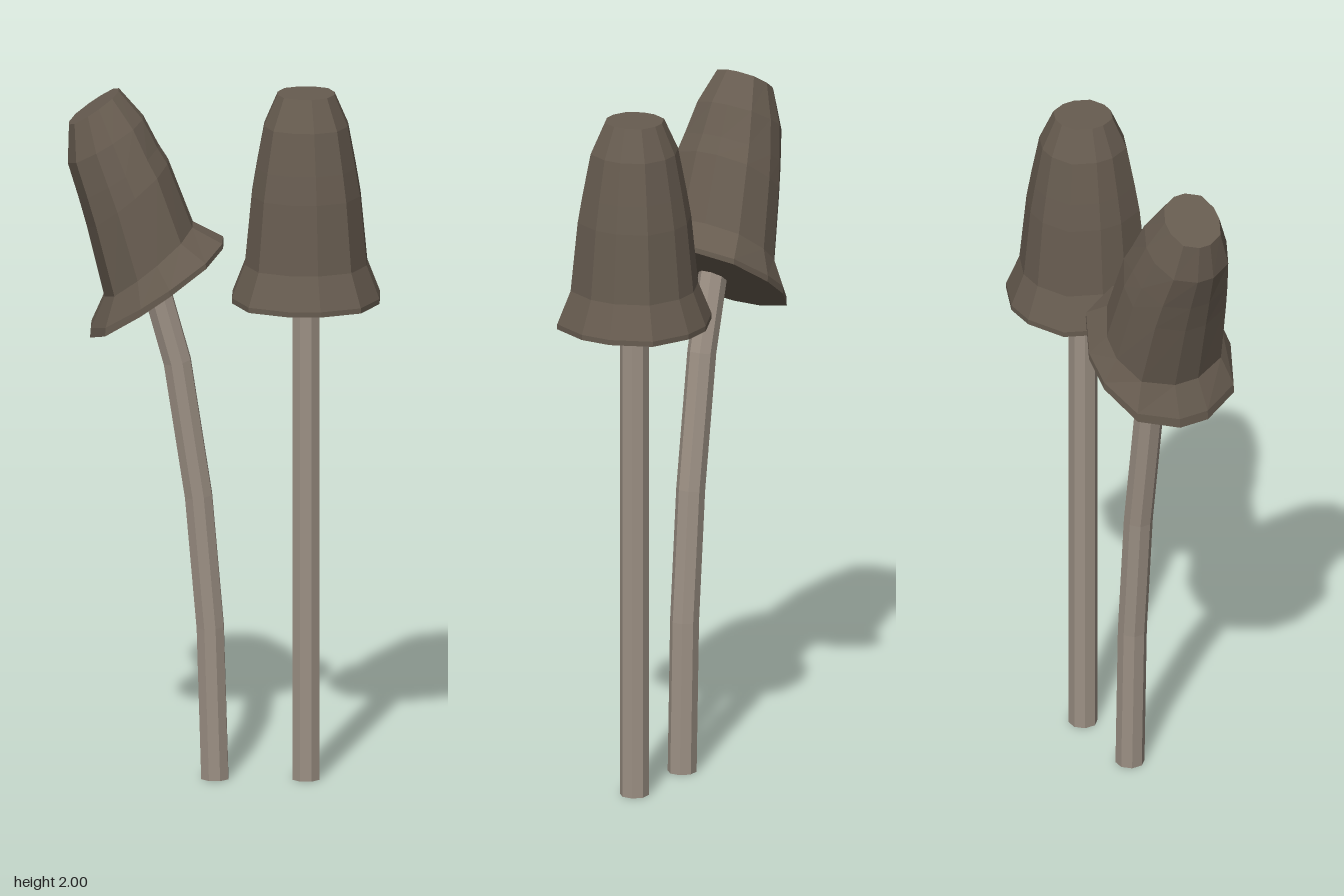
import * as THREE from 'three';

const capMaterial = new THREE.MeshStandardMaterial({ color: 0x675c50, flatShading: true });
const stemMaterial = new THREE.MeshStandardMaterial({ color: 0x9c9084, flatShading: true });

// Cross-sections of unit half-width: a slightly squared 12-gon and a regular octagon
const capSection = [], stemSection = [];
for (let q = 0; q < 4; q++) {
  const a = q * Math.PI / 2, c = Math.cos(a), s = Math.sin(a);
  for (const [x, z] of [[1, 0.22], [0.76, 0.76], [0.22, 1]]) capSection.push([x * c - z * s, x * s + z * c]);
}
for (let j = 0; j < 8; j++) {
  const a = (j + 0.5) * Math.PI / 4;
  stemSection.push([Math.cos(a) * 1.06, Math.sin(a) * 1.06]);
}

// Closed loft through rings; each ring is [leftX, leftY, rightX, rightY, halfDepth]
function loft(name, section, rings, material) {
  const n = section.length, pos = [], index = [];
  for (const [lx, ly, rx, ry, d] of rings) {
    for (const [u, v] of section) {
      pos.push((lx + rx) / 2 + u * (rx - lx) / 2, (ly + ry) / 2 + u * (ry - ly) / 2, v * d);
    }
  }
  const last = (rings.length - 1) * n, bottom = rings.length * n, top = bottom + 1;
  for (const [lx, ly, rx, ry] of [rings[0], rings[rings.length - 1]]) {
    pos.push((lx + rx) / 2, (ly + ry) / 2, 0);
  }
  for (let j = 0; j < n; j++) {
    const k = (j + 1) % n;
    for (let i = 0; i < last; i += n) {
      index.push(i + j, i + n + j, i + k, i + k, i + n + j, i + n + k);
    }
    index.push(bottom, j, k, top, last + k, last + j);
  }
  const indexed = new THREE.BufferGeometry();
  indexed.setAttribute('position', new THREE.Float32BufferAttribute(pos, 3));
  indexed.setIndex(index);
  const geometry = indexed.toNonIndexed();
  geometry.computeVertexNormals();
  const mesh = new THREE.Mesh(geometry, material);
  mesh.name = name;
  return mesh;
}

// Stem ring centred on (x, y), tilted by an angle about z
function stemRing([x, y, tilt]) {
  const r = 0.039, c = Math.cos(tilt) * r, s = Math.sin(tilt) * r;
  return [x - c, y - s, x + c, y + s, r];
}

export function createModel() {
  const group = new THREE.Group();
  group.name = 'mushrooms';

  // Upright mushroom: height and half-width of each cap ring
  const profile = [[1.39, 0.208], [1.405, 0.208], [1.5, 0.172], [1.7, 0.153], [1.78, 0.14], [1.9, 0.118], [1.99, 0.08]];
  const cx = 0.23;
  const upright = new THREE.Group();
  upright.name = 'uprightMushroom';
  upright.add(
    loft('uprightCap', capSection, profile.map(([y, r]) => [cx - r, y, cx + r, y, r]), capMaterial),
    loft('uprightStem', stemSection, [[cx, 0, 0], [cx, 1.42, 0]].map(stemRing), stemMaterial)
  );

  // Leaning mushroom: left and right ends of each tilted cap ring
  const ends = [
    [-0.378, 1.288, -0.003, 1.548],
    [-0.376, 1.315, -0.005, 1.562],
    [-0.337, 1.405, -0.09, 1.607],
    [-0.386, 1.605, -0.16, 1.79],
    [-0.41, 1.69, -0.188, 1.835],
    [-0.441, 1.79, -0.23, 1.918],
    [-0.438, 1.9, -0.298, 1.997],
  ];
  const path = [[-0.027, 0, 0], [-0.04, 0.44, 0.07], [-0.073, 0.82, 0.13], [-0.133, 1.21, 0.2], [-0.2, 1.45, 0.35]];
  const leaning = new THREE.Group();
  leaning.name = 'leaningMushroom';
  leaning.add(
    loft('leaningCap', capSection, ends.map((e, i) => [...e, profile[i][1]]), capMaterial),
    loft('leaningStem', stemSection, path.map(stemRing), stemMaterial)
  );

  group.add(upright, leaning);
  return group;
}
